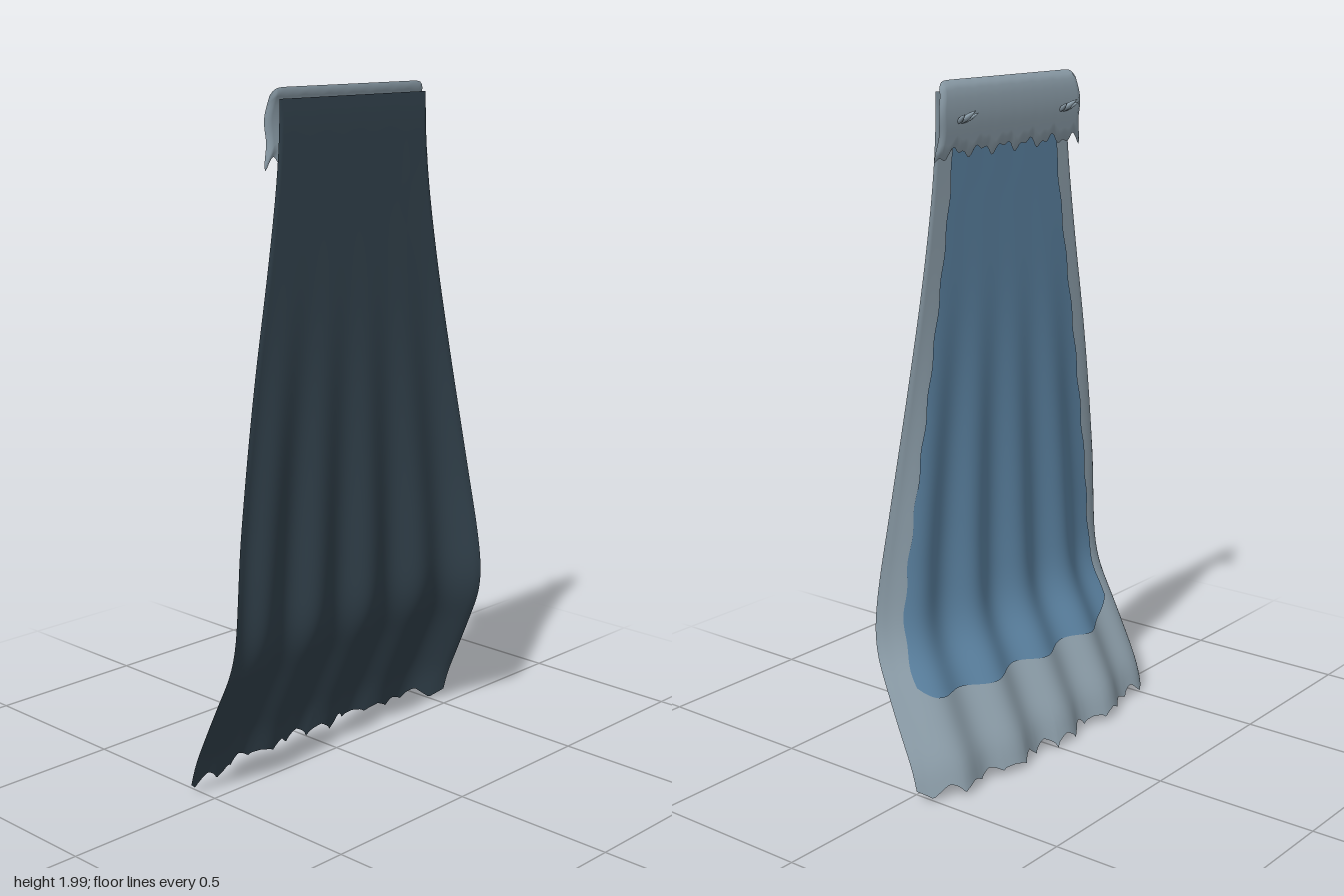
import * as THREE from 'three';

const mat = (name, color) => {
  const m = new THREE.MeshStandardMaterial({ color });
  m.name = name;
  return m;
};

// smooth interpolation through [position, value] pairs sorted by position
function curve(points) {
  const slope = (i) => {
    const a = points[Math.max(i - 1, 0)], b = points[Math.min(i + 1, points.length - 1)];
    return (b[1] - a[1]) / (b[0] - a[0]);
  };
  return (x) => {
    let i = 0;
    while (i < points.length - 2 && x > points[i + 1][0]) i++;
    const [x0, y0] = points[i], [x1, y1] = points[i + 1], h = x1 - x0;
    const t = THREE.MathUtils.clamp((x - x0) / h, 0, 1), t2 = t * t, t3 = t2 * t;
    return y0 * (2 * t3 - 3 * t2 + 1) + slope(i) * h * (t3 - 2 * t2 + t)
      + y1 * (3 * t2 - 2 * t3) + slope(i + 1) * h * (t3 - t2);
  };
}

// grid surface: u runs -1..1 across, v runs 0..1 upward; faces +z, or -z when back is set
function sheet(name, material, nu, nv, point, back) {
  const pos = [], index = [];
  for (let j = 0; j <= nv; j++)
    for (let i = 0; i <= nu; i++) pos.push(...point((2 * i) / nu - 1, j / nv));
  for (let j = 0; j < nv; j++)
    for (let i = 0; i < nu; i++) {
      const a = j * (nu + 1) + i, b = a + 1, c = a + nu + 1, d = c + 1;
      if (back) index.push(a, d, b, a, c, d);
      else index.push(a, b, d, a, d, c);
    }
  const g = new THREE.BufferGeometry();
  g.setAttribute('position', new THREE.Float32BufferAttribute(pos, 3));
  g.setIndex(index);
  g.computeVertexNormals();
  const mesh = new THREE.Mesh(g, material);
  mesh.name = name;
  return mesh;
}

// cloth shape by height: half width, depth, fold strength, forward curl of the side edges
const halfWidth = curve([[0, 0.535], [0.2, 0.532], [0.4, 0.52], [0.6, 0.5], [0.8, 0.472],
  [1.2, 0.403], [1.5, 0.347], [1.7, 0.314], [1.85, 0.298], [2, 0.293]]);
const depth = curve([[0, -0.13], [0.1, -0.1], [0.2, -0.055], [0.3, -0.008], [0.4, 0.038],
  [0.48, 0.058], [0.6, 0.066], [0.8, 0.069], [1.2, 0.071], [2, 0.073]]);
const fold = curve([[0, 0.016], [0.5, 0.014], [1, 0.007], [1.4, 0.001], [1.7, 0], [2, 0]]);
const curl = curve([[0, 0.072], [0.48, 0.06], [0.8, 0.033], [1.2, 0.011], [1.6, 0.002], [2, 0]]);

const clothZ = (u, y) => depth(y) + curl(y) * Math.abs(u) ** 4
  - fold(y) * Math.cos((2 * Math.PI * (u + 0.09)) / 0.434);

// ragged hem
const hem = (u) => {
  const s = (u * 0.535) / 0.083 + 0.5;
  const tri = Math.abs(s - Math.floor(s) - 0.5) * 2;
  return 0.008 + 0.008 * Math.sin(u * 17) ** 2 + 0.034 * Math.sqrt(tri) * (0.85 + 0.15 * Math.cos(u * 23));
};

// cloth layer; both layers meet along the border
const clothPoint = (side) => (u, v) => {
  const y = THREE.MathUtils.lerp(hem(u), 1.97, v);
  const inner = Math.min(1, (1 - Math.abs(u)) * 30, v * 30, (1 - v) * 30);
  return [u * halfWidth(y), y, clothZ(u, y) + side * 0.003 * inner];
};

// coloured panel lying on the back of the cloth
const panelPoint = (u, v) => {
  const y0 = 0.27 + 0.05 * Math.abs(u) ** 14 + 0.006 * Math.sin(u * 11);
  const y = THREE.MathUtils.lerp(y0, 1.9, v);
  const w = halfWidth(y), x = u * (w - 0.066 + 0.003 * Math.sin(y * 40));
  return [x, y, clothZ(x / w, y) - 0.0075];
};

// collar plate: bowed profile, rounded top corners, torn lower edge
const collarBow = curve([[1.76, 0.056], [1.83, 0.048], [1.9, 0.042], [1.96, 0.046], [2, 0.058]]);
const collarPoint = (side) => (u, v) => {
  const top = 2 - 0.022 * Math.abs(u) ** 30;
  const bottom = 1.803 + 0.011 * Math.sin(u * 19) + 0.008 * Math.sin(u * 41 + 1) - 0.016 * Math.abs(u) ** 10;
  const y = THREE.MathUtils.lerp(bottom, top, v);
  const half = 0.325 - 0.075 * (y - 1.79) + 0.004 * Math.sin(y * 50);
  const inner = Math.min(1, (1 - Math.abs(u)) * 20, v * 10, (1 - v) * 16);
  return [u * half - 0.002, y, collarBow(y) + side * 0.007 * inner];
};

export function createModel() {
  const model = new THREE.Group();
  model.name = 'cape';
  const lining = mat('dark lining', 0x34444f);
  const grey = mat('grey cloth', 0x92a4b0);
  const blue = mat('blue panel', 0x5e86a6);

  model.add(
    sheet('frontLining', lining, 156, 70, clothPoint(1), false),
    sheet('backCloth', grey, 156, 70, clothPoint(-1), true),
    sheet('backPanel', blue, 100, 70, panelPoint, true),
  );

  const collar = new THREE.Group();
  collar.name = 'collar';
  collar.add(
    sheet('collarFront', grey, 80, 16, collarPoint(1), false),
    sheet('collarBack', grey, 80, 16, collarPoint(-1), true),
  );
  model.add(collar);

  // two fans of three leaf-shaped prongs
  const profile = [[0, 0], [0.006, 0.004], [0.009, 0.025], [0.006, 0.045], [0, 0.066]]
    .map(([x, y]) => new THREE.Vector2(x, y));
  const prongShape = new THREE.LatheGeometry(profile, 8);
  const up = new THREE.Vector3(0, 1, 0);
  for (const side of [-1, 1]) {
    const fan = new THREE.Group();
    fan.name = side > 0 ? 'leftProngs' : 'rightProngs';
    fan.position.set(side * 0.23, 1.885, 0.04);
    for (const k of [-1, 0, 1]) {
      const prong = new THREE.Mesh(prongShape, grey);
      prong.name = 'prong';
      prong.position.x = k * 0.01;
      prong.quaternion.setFromUnitVectors(up, new THREE.Vector3(k * 0.4, 0.55, -0.85).normalize());
      prong.scale.setScalar(k === 0 ? 1 : 0.8);
      fan.add(prong);
    }
    model.add(fan);
  }
  return model;
}
